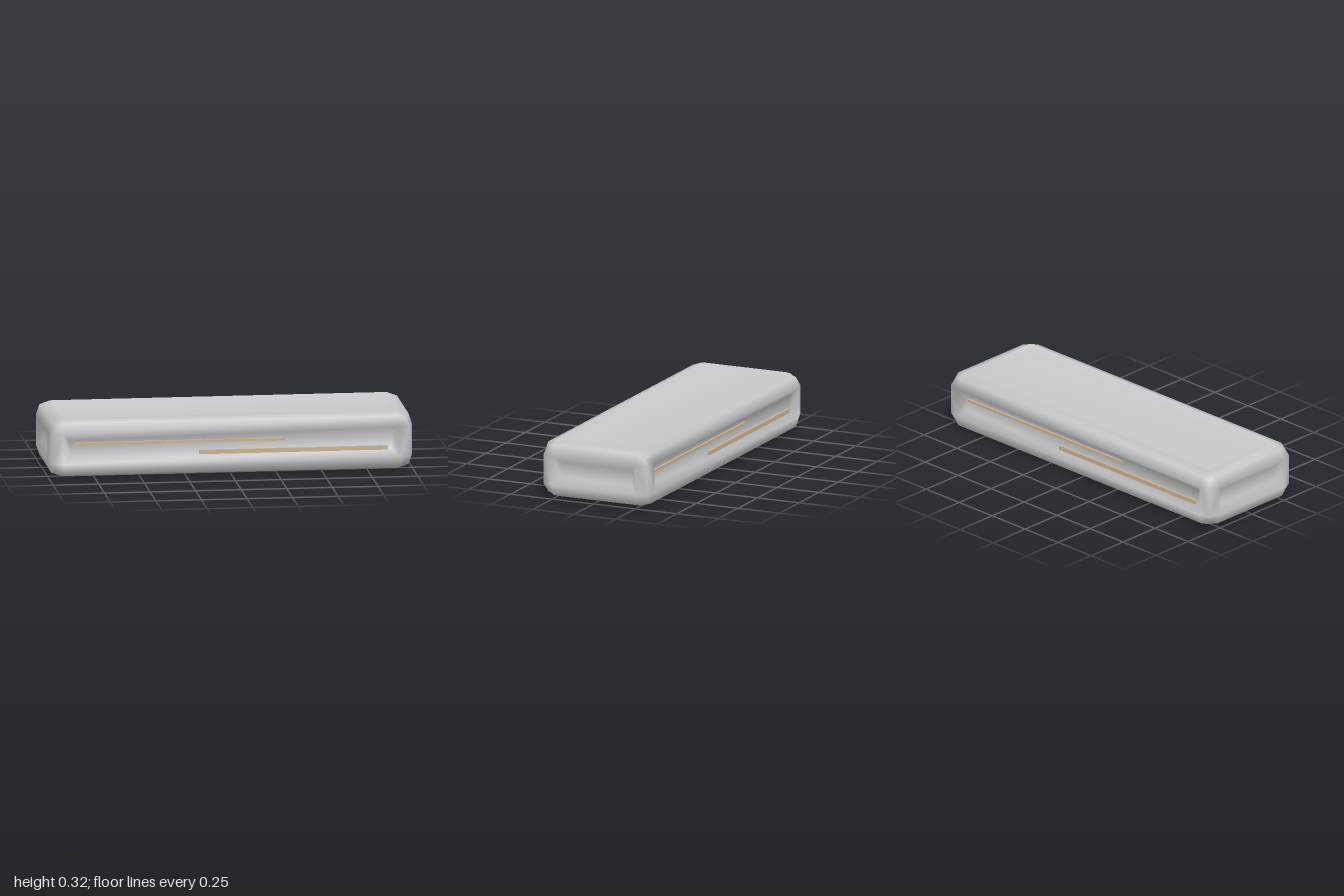
import * as THREE from 'three';
import { mergeVertices } from 'three/addons/utils/BufferGeometryUtils.js';

const HALF = [1, 0.16, 0.33];   // half sizes of the block
const RIM = 0.077;              // width of the rounded edge
const SLOPE = 0.04;             // width of the recess slope
const DEPTH = 0.04;             // depth of the recessed panel

// One side of the block: rounded border, sloped recess and flat panel
function addSide(out, axis, sign) {
  const u = (axis + 1) % 3, v = (axis + 2) % 3;
  const place = (pu, pv, depth) => {
    const p = [0, 0, 0];
    p[axis] = sign * (HALF[axis] - depth);
    p[u] = pu;
    p[v] = pv;
    return p;
  };
  const quad = (a, b, c, d) => {
    const order = sign > 0 ? [a, b, c, a, c, d] : [a, c, b, a, d, c];
    order.forEach((p) => out.push(...p));
  };
  // border grid: edge lines are pulled in, corners a little further
  const grid = (i, j) => {
    const outer = (i % 3 === 0) + (j % 3 === 0);
    const pull = [0, 0.02, 0.04][outer];
    const at = (k, h) => (k < 2 ? -1 : 1) * (h - (k % 3 === 0 ? pull : RIM));
    return place(at(i, HALF[u]), at(j, HALF[v]), pull);
  };
  for (let i = 0; i < 3; i++) {
    for (let j = 0; j < 3; j++) {
      if (i === 1 && j === 1) continue;
      quad(grid(i, j), grid(i + 1, j), grid(i + 1, j + 1), grid(i, j + 1));
    }
  }
  // recess
  const rim = [grid(1, 1), grid(2, 1), grid(2, 2), grid(1, 2)];
  const iu = HALF[u] - RIM - SLOPE, iv = HALF[v] - RIM - SLOPE;
  const panel = [[-1, -1], [1, -1], [1, 1], [-1, 1]].map(([a, b]) => place(a * iu, b * iv, DEPTH));
  for (let k = 0; k < 4; k++) {
    const n = (k + 1) % 4;
    quad(rim[k], rim[n], panel[n], panel[k]);
  }
  quad(...panel);
}

function blockGeometry() {
  const out = [];
  for (let axis = 0; axis < 3; axis++) {
    for (const sign of [1, -1]) addSide(out, axis, sign);
  }
  const raw = new THREE.BufferGeometry();
  raw.setAttribute('position', new THREE.Float32BufferAttribute(out, 3));
  const geometry = mergeVertices(raw, 1e-4);
  geometry.computeVertexNormals();
  geometry.translate(0, HALF[1], 0);
  return geometry;
}

export function createModel() {
  const model = new THREE.Group();
  const grey = new THREE.MeshStandardMaterial({ name: 'light grey', color: 0xc8c8ca });
  const tan = new THREE.MeshStandardMaterial({ name: 'tan', color: 0xc9b190 });

  const block = new THREE.Mesh(blockGeometry(), grey);
  block.name = 'block';
  model.add(block);

  // Two offset strips in the long recesses, repeated on the back by a half turn
  const strip = (name, x0, x1, y0, y1) => {
    const mesh = new THREE.Mesh(new THREE.BoxGeometry(x1 - x0, y1 - y0, 0.02), tan);
    mesh.position.set((x0 + x1) / 2, (y0 + y1) / 2, 0.292);
    mesh.name = name;
    return mesh;
  };
  ['front', 'back'].forEach((side, i) => {
    const group = new THREE.Group();
    group.name = side + 'Strips';
    group.add(strip('upperStrip', -0.86, 0.3, 0.179, 0.192));
    group.add(strip('lowerStrip', -0.17, 0.86, 0.112, 0.135));
    group.rotation.y = i * Math.PI;
    model.add(group);
  });
  return model;
}
